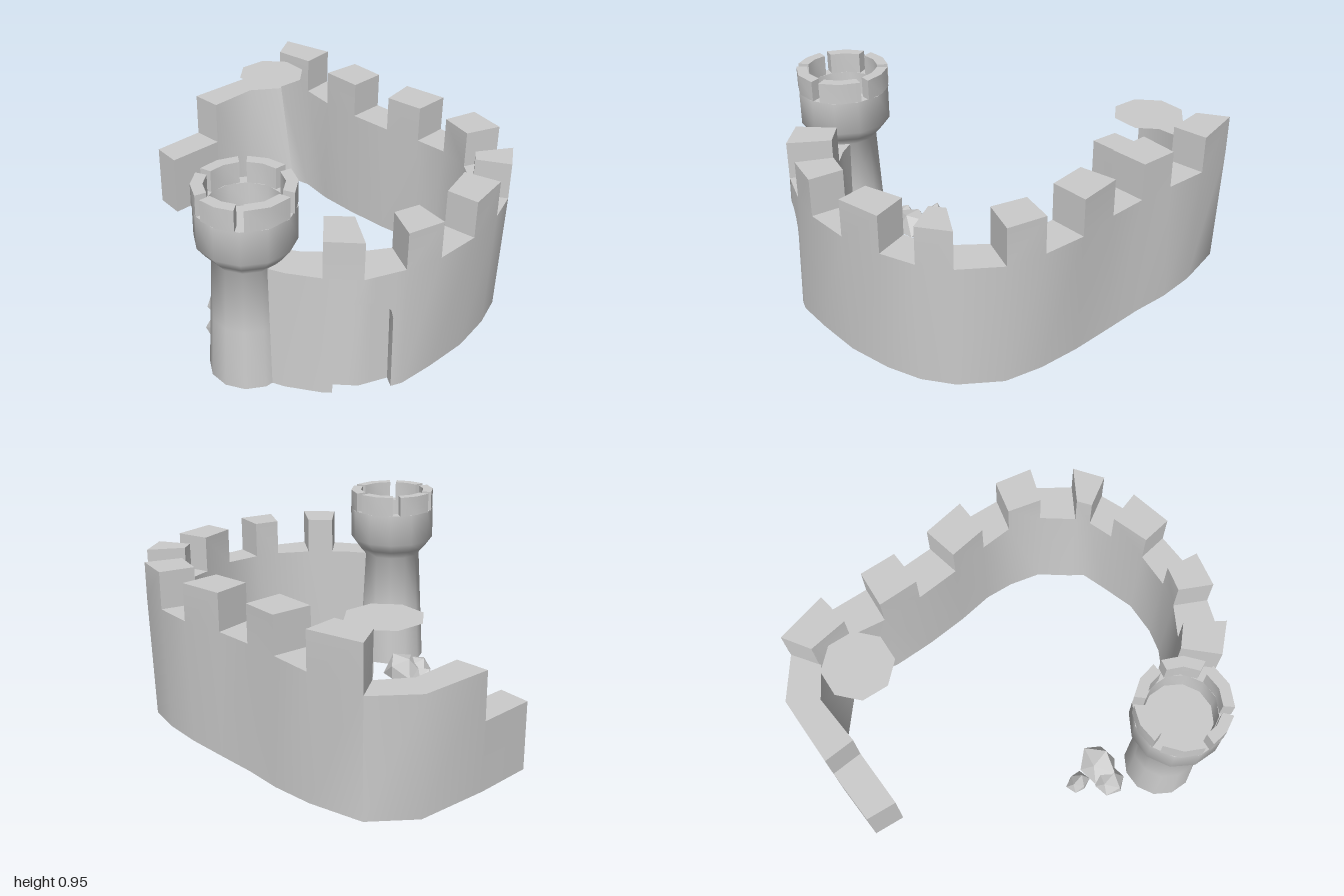
import * as THREE from 'three';
import { toCreasedNormals } from 'three/addons/utils/BufferGeometryUtils.js';

const grey = new THREE.MeshStandardMaterial({ color: 0xcccccc, side: THREE.DoubleSide });
const rough = new THREE.MeshStandardMaterial({ color: 0xcccccc, flatShading: true });

// Plan of the wall top, from the broken end round to the tower: [x, z]
const outer = [[-1, -.16], [-.94, -.44], [-.85, -.79], [-.66, -.94], [-.39, -.94], [-.18, -.88], [0, -.83],
  [.19, -.79], [.41, -.77], [.61, -.71], [.78, -.63], [.92, -.47], [.98, -.32], [1, -.15], [.99, .065],
  [.94, .28], [.86, .44], [.75, .6], [.6, .685], [.45, .74], [.28, .77]];
const inner = [[-.85, -.11], [-.78, -.41], [-.735, -.67], [-.61, -.79], [-.41, -.77], [-.24, -.7], [-.04, -.65],
  [.18, -.61], [.37, -.59], [.53, -.56], [.68, -.48], [.79, -.34], [.82, -.27], [.83, -.14], [.84, .05],
  [.79, .22], [.73, .33], [.61, .45], [.5, .52], [.42, .57], [.28, .62]];
const WALK = .6, MERLON = .78;
const doorStation = 16;

// Height of each wall segment: two broken ones, then every other one a merlon
const heightOf = i => i === 0 ? .33 : i < 3 ? .56 : (i % 2 && i < 19 ? MERLON : WALK);

// Foot of the wall at a station: it leans in or out a little from the top
function footPoint(isInner, i) {
  const [x, z] = (isInner ? inner : outer)[i];
  if (isInner && i === 2) return [-.71, -.63];
  if (isInner && i === 3) return [-.51, -.77];
  let lean = i < 2 ? 1 : .987;
  if (isInner) lean = i > 8 && i < 12 ? .97 : 1;
  else if ((i > 4 && i < 8) || i > 15) lean = 1.02;
  return [x * lean, z * lean];
}

// Point on the outer or inner face at station u (may be fractional) and height y
function wallPoint(isInner, u, y) {
  const plan = isInner ? inner : outer;
  const t = Math.min(y / WALK, 1);
  const at = i => {
    const [x, z] = plan[i], [fx, fz] = footPoint(isInner, i);
    return new THREE.Vector3(fx + (x - fx) * t, y, fz + (z - fz) * t);
  };
  const i = Math.min(Math.floor(u), plan.length - 2);
  return at(i).lerp(at(i + 1), u - i);
}

function buildWall() {
  const pos = [];
  const quad = (flip, a, b, c, d) => {
    const order = flip ? [a, d, c, a, c, b] : [a, b, c, a, c, d];
    order.forEach(p => pos.push(p.x, p.y, p.z));
  };
  // Upright strip of one face between two stations
  const strip = (side, u0, u1, lo0, lo1, hi0, hi1, shift = new THREE.Vector3()) => quad(side,
    wallPoint(side, u1, lo1).add(shift), wallPoint(side, u0, lo0).add(shift),
    wallPoint(side, u0, hi0).add(shift), wallPoint(side, u1, hi1).add(shift));
  // Step or end across the wall thickness
  const step = (i, lo, hi, flip) => quad(flip, wallPoint(false, i, lo), wallPoint(true, i, lo),
    wallPoint(true, i, hi), wallPoint(false, i, hi));

  const count = outer.length - 1;
  for (let i = 0; i < count; i++) {
    const h = heightOf(i), body = Math.min(h, WALK);
    const before = i ? heightOf(i - 1) : 0;
    const hasDoor = i === doorStation || i === doorStation + 1;
    for (const side of [false, true]) {
      if (side || !hasDoor) strip(side, i, i + 1, 0, 0, body, body);
      if (h > WALK) strip(side, i, i + 1, WALK, WALK, h, h);
    }
    quad(false, wallPoint(false, i, h), wallPoint(true, i, h), wallPoint(true, i + 1, h), wallPoint(false, i + 1, h));
    step(i, Math.min(h, before), Math.max(h, before), h < before);
  }
  step(count, 0, WALK, true);

  // Arched door recess in the outer face
  const n = 8, arch = [];
  for (let k = 0; k <= n; k++) {
    const a = Math.PI * k / n;
    arch.push([doorStation + 1 - .72 * Math.cos(a), .37 + .11 * Math.sin(a)]);
  }
  const first = arch[0][0], last = arch[n][0];
  const recess = new THREE.Vector3(-.04, 0, -.04);
  strip(false, doorStation, first, 0, 0, WALK, WALK);
  strip(false, last, doorStation + 2, 0, 0, WALK, WALK);
  for (let k = 0; k < n; k++) {
    const [u0, y0] = arch[k], [u1, y1] = arch[k + 1];
    strip(false, u0, u1, y0, y1, WALK, WALK);
    strip(false, u0, u1, 0, 0, y0, y1, recess);
  }
  const rim = [[first, 0], ...arch, [last, 0]].map(([u, y]) => wallPoint(false, u, y));
  for (let k = 0; k < rim.length - 1; k++) {
    const a = rim[k], b = rim[k + 1];
    quad(false, a.clone().add(recess), a, b, b.clone().add(recess));
  }
  const geo = new THREE.BufferGeometry();
  geo.setAttribute('position', new THREE.Float32BufferAttribute(pos, 3));
  return toCreasedNormals(geo, .8);
}

function buildTower() {
  const tower = new THREE.Group();
  tower.name = 'tower';
  // Tapered shaft open at the foot, flared head, sunken floor
  const profile = [[.18, 0], [.165, .3], [.15, .6], [.185, .64], [.222, .69], [.222, .85],
    [.17, .85], [.165, .74], [0, .74]].map(p => new THREE.Vector2(...p));
  const shaft = new THREE.Mesh(toCreasedNormals(new THREE.LatheGeometry(profile, 12), .9), grey);
  shaft.name = 'towerShaft';
  tower.add(shaft);

  // Six curved merlons between narrow, unevenly spaced gaps (degrees from the front)
  const gaps = [-23, 30, 97, 160, 218, 277, 337];
  for (let k = 0; k < 6; k++) {
    const mid = THREE.MathUtils.degToRad((gaps[k] + gaps[k + 1]) / 2);
    const half = THREE.MathUtils.degToRad((gaps[k + 1] - gaps[k]) / 2) - .09;
    const ring = r => [-half, 0, half].map(a => new THREE.Vector2(r * Math.cos(a), r * Math.sin(a)));
    const shape = new THREE.Shape([...ring(.222), ...ring(.17).reverse()]);
    const geo = new THREE.ExtrudeGeometry(shape, { depth: .1, bevelEnabled: false }).rotateX(-Math.PI / 2);
    const merlon = new THREE.Mesh(toCreasedNormals(geo, .9), grey);
    merlon.name = 'towerMerlon';
    merlon.position.y = .85;
    merlon.rotation.y = mid - Math.PI / 2;
    tower.add(merlon);
  }
  tower.position.set(.235, 0, .71);
  return tower;
}

// Faceted stone, roughened by a rule and flattened on the ground
function buildRock(x, z, sx, sy, sz, seed) {
  const geo = new THREE.IcosahedronGeometry(1, 0);
  const p = geo.attributes.position, v = new THREE.Vector3();
  for (let i = 0; i < p.count; i++) {
    v.fromBufferAttribute(p, i);
    v.multiplyScalar(.95 + .13 * Math.sin(seed + v.x * 5 + v.y * 7 + v.z * 11));
    p.setXYZ(i, v.x * sx, Math.max(0, v.y * sy), v.z * sz);
  }
  geo.computeVertexNormals();
  const rock = new THREE.Mesh(geo, rough);
  rock.name = 'rubble';
  rock.position.set(x, 0, z);
  return rock;
}

export function createModel() {
  const model = new THREE.Group();
  model.name = 'ruinedCastle';

  const wall = new THREE.Mesh(buildWall(), grey);
  wall.name = 'curtainWall';
  model.add(wall, buildTower());

  // Flat eight-sided platform in the back corner
  const platform = new THREE.Mesh(new THREE.CircleGeometry(.175, 8).rotateX(-Math.PI / 2).rotateY(.1), grey);
  platform.name = 'cornerPlatform';
  platform.position.set(-.525, .75, -.58);
  model.add(platform);

  // Fallen stones beside the tower
  model.add(
    buildRock(.02, .48, .11, .13, .11, 1),
    buildRock(-.02, .58, .09, .09, .085, 2.5),
    buildRock(-.13, .46, .065, .08, .06, 4));
  return model;
}
